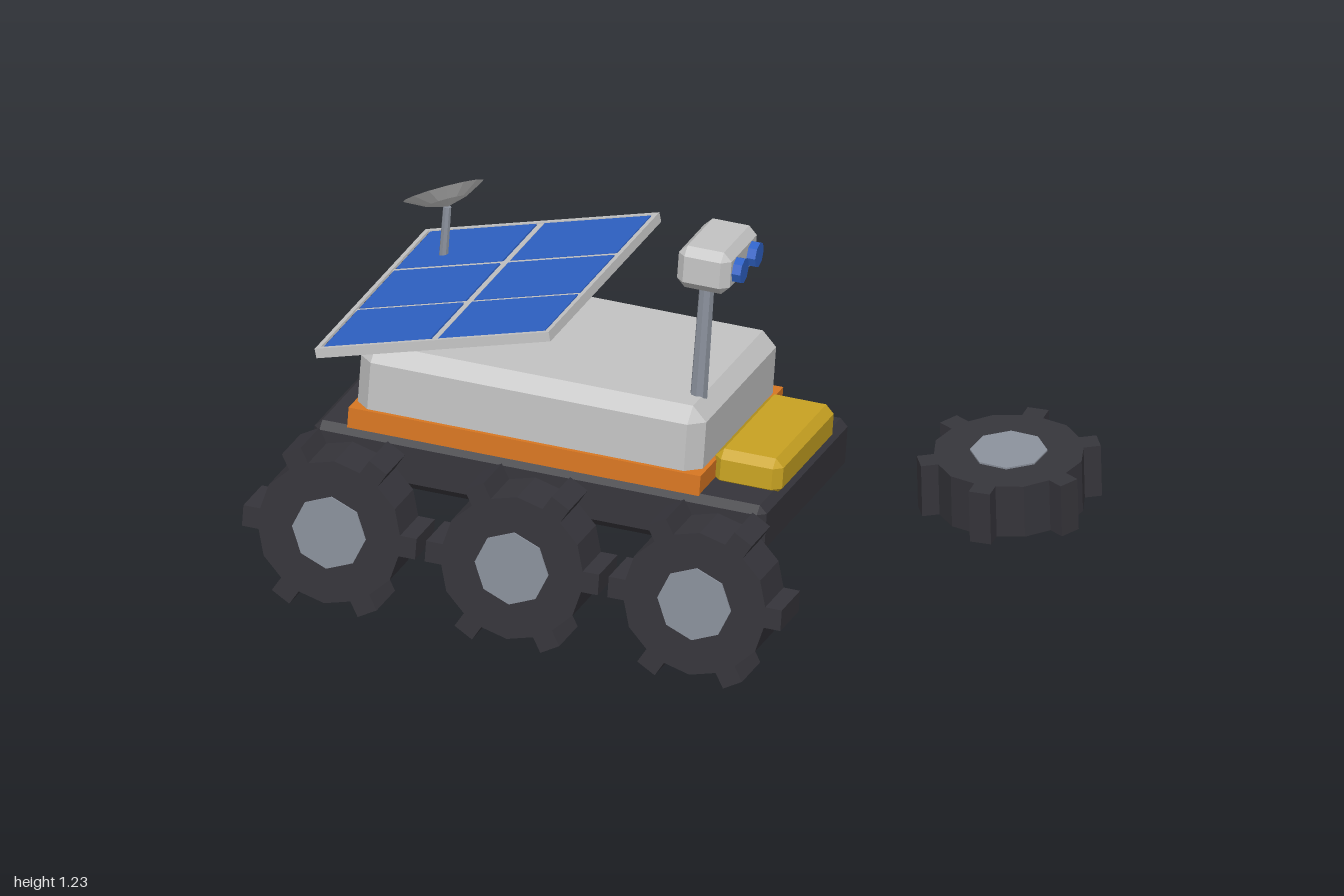
import * as THREE from 'three';
import { ConvexGeometry } from 'three/addons/geometries/ConvexGeometry.js';

const material = (name, color, extra = {}) => {
  const m = new THREE.MeshStandardMaterial({ color, ...extra });
  m.name = name;
  return m;
};

// Faceted normals for low-poly parts
function flat(geometry) {
  const g = geometry.index ? geometry.toNonIndexed() : geometry;
  g.computeVertexNormals();
  return g;
}

// Box with every edge cut at 45 degrees
function chamferBox(w, h, d, c) {
  const pts = [];
  for (const x of [-w / 2, w / 2]) for (const y of [-h / 2, h / 2]) for (const z of [-d / 2, d / 2]) {
    const cx = Math.sign(x) * c, cy = Math.sign(y) * c, cz = Math.sign(z) * c;
    pts.push(new THREE.Vector3(x, y - cy, z - cz));
    pts.push(new THREE.Vector3(x - cx, y, z - cz));
    pts.push(new THREE.Vector3(x - cx, y - cy, z));
  }
  return new ConvexGeometry(pts);
}

const box = (w, h, d) => new THREE.BoxGeometry(w, h, d);
const cylinder = (rTop, rBottom, h, sides) => flat(new THREE.CylinderGeometry(rTop, rBottom, h, sides));

export function createModel() {
  const white = material('light grey shell', 0xc4c4c4, { side: THREE.DoubleSide });
  const metal = material('grey metal', 0x8a909b);
  const dark = material('dark rubber and chassis', 0x36353b);
  const orange = material('orange trim', 0xd97722);
  const yellow = material('yellow box', 0xc9a322);
  const blue = material('blue glass', 0x2f62c6);

  function add(parent, name, geometry, mat, x = 0, y = 0, z = 0) {
    const mesh = new THREE.Mesh(geometry, mat);
    mesh.name = name;
    mesh.position.set(x, y, z);
    parent.add(mesh);
    return mesh;
  }

  // Wheel with its axis along z and six lugs
  const WIDTH = 0.158;
  function makeWheel(name) {
    const wheel = new THREE.Group();
    wheel.name = name;
    add(wheel, 'tyre', cylinder(0.214, 0.214, WIDTH, 12).rotateX(Math.PI / 2), dark);
    add(wheel, 'hub', cylinder(0.108, 0.108, WIDTH + 0.01, 8).rotateX(Math.PI / 2), metal);
    for (let i = 0; i < 6; i++) {
      const lug = box(0.085, 0.062, WIDTH).translate(0.212, 0, 0).rotateZ((i * Math.PI) / 3);
      add(wheel, 'lug', lug, dark);
    }
    return wheel;
  }

  const model = new THREE.Group();
  model.name = 'rover with lost wheel';

  // Rover body leans towards its missing wheel
  const rover = new THREE.Group();
  rover.name = 'rover';
  rover.position.set(-0.21, 0.435, 0.254);
  rover.rotation.set(-0.0545, 0, -0.053);
  model.add(rover);

  // Hull layers
  add(rover, 'chassis', chamferBox(1.33, 0.152, 0.74, 0.022), dark);
  add(rover, 'trim', box(1.035, 0.06, 0.712), orange, -0.05, 0.101, 0);
  add(rover, 'body', chamferBox(1.015, 0.225, 0.685, 0.042), white, -0.052, 0.2, 0);
  add(rover, 'toolBox', chamferBox(0.2, 0.11, 0.48, 0.024), yellow, 0.562, 0.11, -0.003);

  // Wheels and suspension brackets; the front one on one side is gone
  for (const side of [1, -1]) {
    for (const x of [-0.537, 0, 0.537]) {
      add(rover, 'bracket', box(0.07, 0.06, 0.17), metal, x, -0.06, side * 0.372);
      if (side < 0 && x > 0.5) {
        add(rover, 'bareAxle', cylinder(0.031, 0.031, 0.135, 8).rotateX(Math.PI / 2), metal, x, -0.167, -0.5);
      } else {
        const wheel = makeWheel('wheel');
        wheel.position.set(x, -0.167, side * 0.47);
        rover.add(wheel);
      }
    }
  }

  // Camera mast
  add(rover, 'mast', cylinder(0.021, 0.025, 0.42, 8), metal, 0.4, 0.495, 0.21);
  const head = new THREE.Group();
  head.name = 'cameraHead';
  head.position.set(0.422, 0.731, 0.208);
  rover.add(head);
  add(head, 'headShell', chamferBox(0.155, 0.125, 0.265, 0.024), white);
  for (const z of [-0.064, 0.064]) {
    add(head, 'lens', cylinder(0.037, 0.037, 0.04, 8).rotateZ(Math.PI / 2), blue, 0.083, 0, z);
  }

  // Tilted solar panel: dark backing, pale rails and six cells
  add(rover, 'panelPost', cylinder(0.023, 0.023, 0.13, 8), metal, -0.298, 0.35, 0);
  const panel = new THREE.Group();
  panel.name = 'solarPanel';
  panel.position.set(-0.3, 0.419, 0);
  panel.rotation.z = 0.27;
  rover.add(panel);
  const L = 0.7, W = 0.955;
  add(panel, 'backing', box(L - 0.02, 0.014, W - 0.02), dark);
  for (const s of [-1, 1]) {
    add(panel, 'endRail', box(0.014, 0.028, W), white, s * (L / 2 - 0.007), 0, 0);
    add(panel, 'sideRail', box(L - 0.028, 0.028, 0.014), white, 0, 0, s * (W / 2 - 0.007));
    add(panel, 'crossRail', box(L - 0.028, 0.02, 0.018), white, 0, 0, s * W / 6);
  }
  add(panel, 'middleRail', box(0.018, 0.02, W - 0.028), white);
  for (const x of [-1, 1]) for (const z of [-1, 0, 1]) {
    add(panel, 'cell', box(0.317, 0.006, 0.295), blue, x * 0.171, 0.009, z * 0.313);
  }

  // Dish antenna
  add(rover, 'dishPost', cylinder(0.012, 0.014, 0.22, 8), metal, -0.515, 0.405, -0.259);
  const profile = [[0.001, -0.046], [0.06, -0.03], [0.117, 0]].map(([r, y]) => new THREE.Vector2(r, y));
  const dish = add(rover, 'dish', flat(new THREE.LatheGeometry(profile, 14)), white, -0.535, 0.552, -0.278);
  dish.quaternion.setFromUnitVectors(new THREE.Vector3(0, 1, 0), new THREE.Vector3(-0.54, 1, -0.405).normalize());

  // Lost wheel lying on the ground
  const lost = makeWheel('lostWheel');
  lost.position.set(0.768, 0.121, -0.573);
  lost.rotation.set(Math.PI / 2 + 0.07, 0, Math.PI / 6);
  model.add(lost);

  return model;
}
